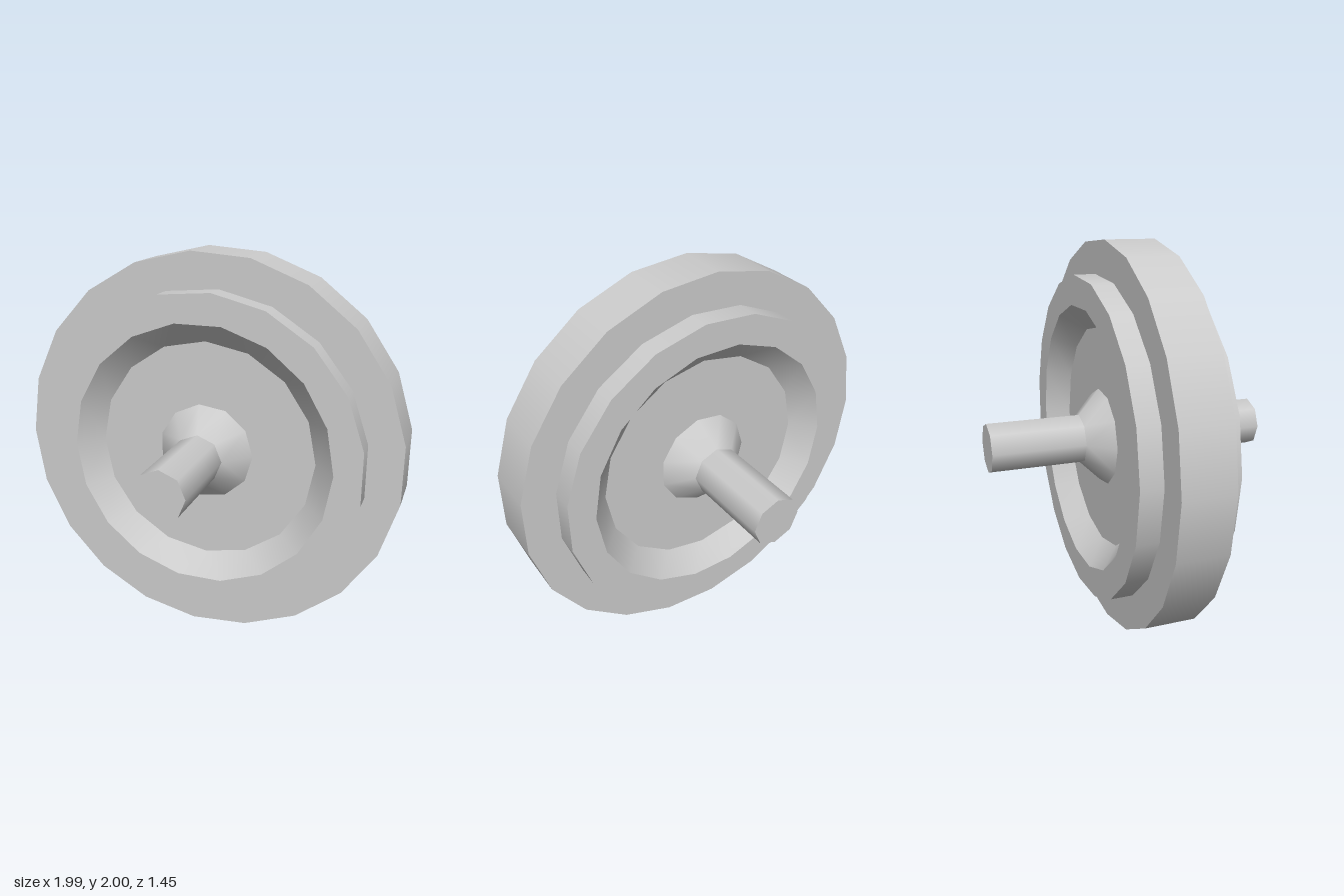
import * as THREE from 'three';

// Surface between two coaxial regular polygons [sides, radius, z], which may differ
// in side count. Normals follow the profile slope, so the band looks smooth.
function band([nA, rA, zA], [nB, rB, zB], phase) {
  const pos = [], nor = [];
  const slope = Math.hypot(zB - zA, rB - rA);
  const nr = (zB - zA) / slope, nz = (rA - rB) / slope;
  const put = (n, r, z, i) => {
    const a = phase + (i / n) * Math.PI * 2, c = Math.cos(a), s = Math.sin(a);
    pos.push(r * c, r * s, z);
    nor.push(nr * c, nr * s, nz);
  };
  let i = 0, j = 0;
  while (i < nA || j < nB) {
    const stepA = j >= nB || (i < nA && (i + 0.5) / nA <= (j + 0.5) / nB);
    put(nA, rA, zA, i);
    if (stepA) put(nA, rA, zA, i + 1);
    else put(nB, rB, zB, j + 1);
    put(nB, rB, zB, j);
    if (stepA) i++;
    else j++;
  }
  const geo = new THREE.BufferGeometry();
  geo.setAttribute('position', new THREE.Float32BufferAttribute(pos, 3));
  geo.setAttribute('normal', new THREE.Float32BufferAttribute(nor, 3));
  return geo;
}

export function createModel() {
  const model = new THREE.Group();
  model.name = 'wheelOnAxle';
  const material = new THREE.MeshStandardMaterial({ color: 0xcccccc });

  // Rings of one half, from the middle of the rim to the tip of the axle
  const rimMid = [21, 1.003, 0], rimEdge = [21, 1.003, 0.13];
  const stepIn = [19, 0.83, 0.13], stepOut = [19, 0.83, 0.243];
  const dishTop = [18, 0.683, 0.243], dishFloor = [16, 0.572, 0.13];
  const hubBase = [11, 0.25, 0.13], hubTop = [8, 0.127, 0.25];
  const axleEnd = [8, 0.127, 0.727], axleTip = [8, 0, 0.727];

  for (const side of ['front', 'back']) {
    const half = new THREE.Group();
    half.name = side + 'Half';
    if (side === 'back') half.rotation.y = Math.PI;
    // Rim polygons have a corner at -x on both halves
    const rim = side === 'front' ? Math.PI : 0;
    const parts = [
      ['rimTread', rimMid, rimEdge, rim],
      ['rimFace', rimEdge, stepIn, rim],
      ['shoulderWall', stepIn, stepOut, rim],
      ['shoulderFace', stepOut, dishTop, rim],
      ['dishWall', dishTop, dishFloor, 0],
      ['web', dishFloor, hubBase, 0],
      ['hub', hubBase, hubTop, 0],
      ['axle', hubTop, axleEnd, 0],
      ['axleCap', axleEnd, axleTip, 0],
    ];
    for (const [name, a, b, phase] of parts) {
      const mesh = new THREE.Mesh(band(a, b, phase), material);
      mesh.name = name;
      half.add(mesh);
    }
    // Odd-sided rim: a small shift centres its bounds
    half.position.set(0.006, 1, 0);
    model.add(half);
  }
  return model;
}
